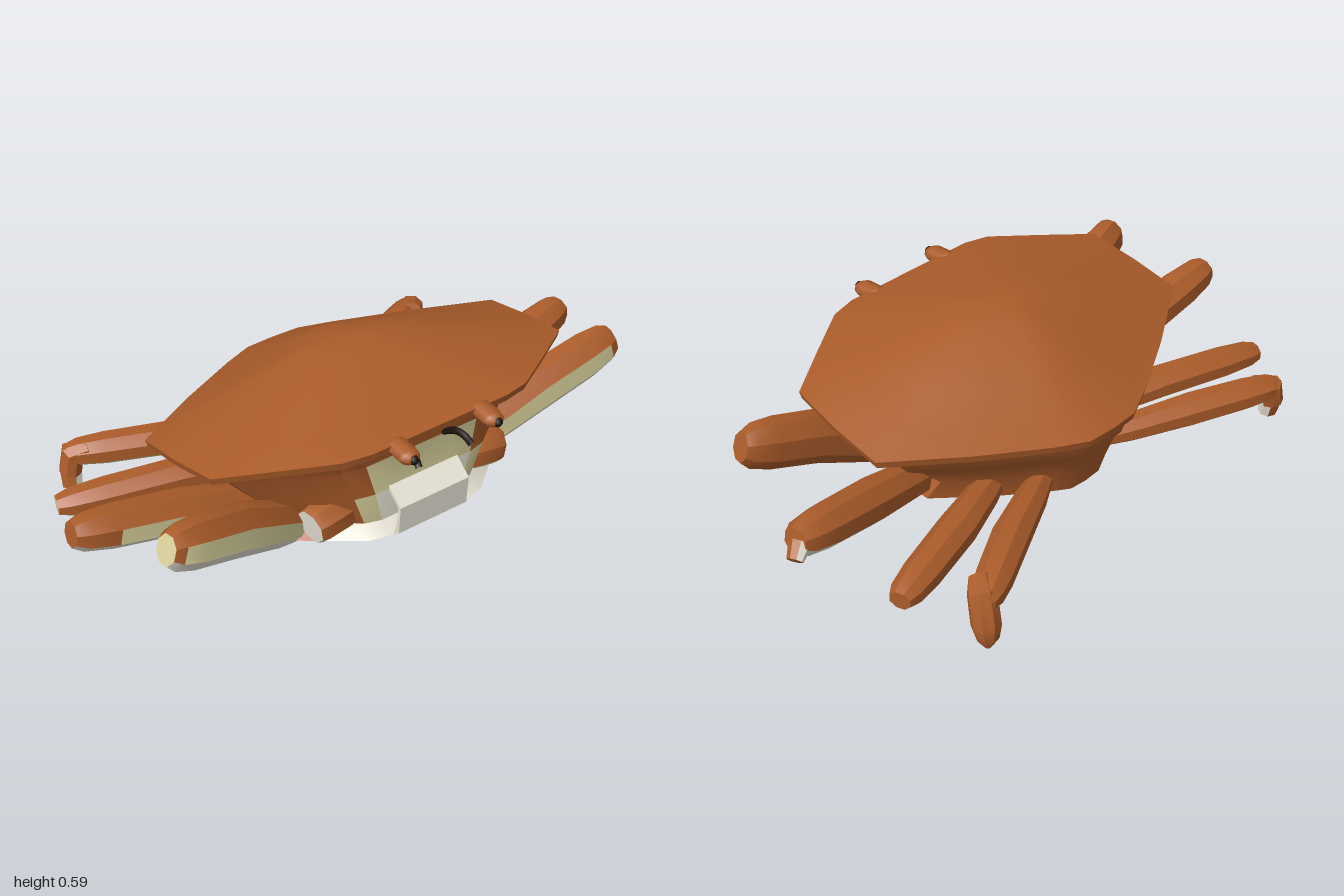
import * as THREE from 'three';
import { toCreasedNormals } from 'three/addons/utils/BufferGeometryUtils.js';

const mat = (name, color) => Object.assign(new THREE.MeshStandardMaterial({ color }), { name });
const V = (x, y, z) => new THREE.Vector3(x, y, z);

// Skin a list of rings; pick(ring, side) gives the material index of each panel.
function loft(rings, { pick, flip = false, start, end, endMat = 0, crease = 0.5 }) {
  const buckets = {};
  const tri = (m, a, b, c) => {
    const list = (buckets[m] ??= []);
    for (const p of flip ? [a, c, b] : [a, b, c]) list.push(p.x, p.y, p.z);
  };
  const n = rings[0].length, last = rings[rings.length - 1];
  for (let i = 0; i < n; i++) {
    const j = (i + 1) % n;
    for (let r = 0; r + 1 < rings.length; r++) {
      const a = rings[r], b = rings[r + 1], m = pick(r, i);
      tri(m, a[i], a[j], b[j]);
      tri(m, a[i], b[j], b[i]);
    }
    if (start) tri(0, start, rings[0][j], rings[0][i]);
    if (end) tri(endMat, end, last[i], last[j]);
  }
  const geo = new THREE.BufferGeometry(), pos = [];
  for (const m in buckets) {
    geo.addGroup(pos.length / 3, buckets[m].length / 3, +m);
    pos.push(...buckets[m]);
  }
  geo.setAttribute('position', new THREE.Float32BufferAttribute(pos, 3));
  return toCreasedNormals(geo, crease);
}

export function createModel() {
  const group = new THREE.Group();
  const shell = mat('rustShell', 0xab5c2a), cream = mat('cream', 0xdad29c);
  const pale = mat('paleBelly', 0xebe6d8), dark = mat('dark', 0x1c120c);
  const skins = [shell, cream, pale];
  const add = (name, geo, material) => {
    const mesh = new THREE.Mesh(geo, material);
    mesh.name = name;
    group.add(mesh);
    return mesh;
  };

  // Carapace outline, right half then mirrored (x, z)
  const half = [[0, 0.49], [0.13, 0.49], [0.25, 0.49], [0.34, 0.47], [0.5, 0.37], [0.655, 0.27], [0.67, 0.1],
    [0.67, -0.08], [0.43, -0.23], [0.21, -0.35], [0.1, -0.4], [0, -0.405]];
  const outline = [...half, ...half.slice(1, -1).reverse().map(([x, z]) => [-x, z])];

  // Domed top with a thin overhanging rim: [scale, height above rim, forward tilt]
  const dome = [[0.28, 0.14, 0.09], [0.6, 0.073, 0.16], [0.85, 0.027, 0.2], [1, 0, 0.2], [0.99, -0.024, 0.2], [0.9, -0.027, 0.2]];
  const domeRings = dome.map(([s, h, tilt]) => outline.map(([x, z]) => {
    const dz = (z - 0.05) * s;
    return V(x * s, 0.424 + tilt * dz + h, 0.05 + dz);
  }));
  add('carapace', loft(domeRings, { pick: () => 0, flip: true, start: V(0, 0.587, 0.05), crease: 0.6 }), skins);

  // Body under the rim: [x scale, front z, back z, y at z=0, y slope]
  const levels = [[0.91, 0.44, -0.385, 0.389, 0.2], [0.83, 0.405, -0.37, 0.32, 0.18], [0.72, 0.415, -0.352, 0.255, 0.07],
    [0.6, 0.41, -0.33, 0.165, 0.01], [0.64, 0.45, -0.3, 0.1, 0.08], [0.35, 0.25, -0.18, 0.072, 0.02]];
  const bodyRings = levels.map(([s, f, b, y, k]) => outline.map(([x, z]) => {
    const zz = b + (z + 0.405) / 0.895 * (f - b);
    return V(x * s, y + k * zz, zz);
  }));
  const n = outline.length;
  const bodyPick = (r, i) => {
    const side = Math.min(i, n - 1 - i); // 0 is the panel nearest the middle of the face
    if (r === 4) return 2;
    if (r === 3) return side > 3 ? 0 : 2;
    if (r === 2 && side < 2) return 2;
    return r === 0 || side > r ? 0 : 1;
  };
  add('body', loft(bodyRings, { pick: bodyPick, flip: true, end: V(0, 0.067, 0.02), endMat: 2, crease: 0.5 }), skins);

  // Small rusty spots on the belly
  for (const [x, z, r] of [[0.13, -0.02, 0.022], [-0.12, 0.07, 0.025], [0.02, -0.13, 0.022], [-0.04, 0.15, 0.018]]) {
    add('bellySpot', new THREE.CylinderGeometry(r, r, 0.008, 7), shell).position.set(x, 0.069 + 0.03 * Math.abs(z), z);
  }

  // Eight-sided limb along a path of [x, y, z, half width, half height]; cream stops at ring creamEnd
  function limb(name, path, faceMats, endMat = 0, creamEnd = 9) {
    const pts = path.map(p => V(p[0], p[1], p[2]));
    const whole = pts[pts.length - 1].clone().sub(pts[0]);
    const side = V(-whole.z, 0, whole.x).normalize();
    if (side.z < 0) side.negate();
    const rings = pts.map((p, k) => {
      const d = pts[Math.min(k + 1, pts.length - 1)].clone().sub(pts[Math.max(k - 1, 0)]).normalize();
      const up = d.clone().cross(side).normalize();
      if (whole.x > 0) up.negate();
      return Array.from({ length: 8 }, (_, i) => {
        const t = (i + 0.5) * Math.PI / 4;
        return p.clone().addScaledVector(side, Math.cos(t) * path[k][3]).addScaledVector(up, Math.sin(t) * path[k][4]);
      });
    });
    const pick = (r, i) => {
      const m = faceMats[(i + 1) % 8];
      return m === 1 && r >= creamEnd ? 0 : m;
    };
    const geo = loft(rings, { pick, flip: whole.x > 0, start: pts[0], end: pts[pts.length - 1], endMat });
    return add(name, geo, skins);
  }
  // Panel colours, starting at the front face and going over the top
  const frontMats = [1, 0, 0, 0, 0, 0, 2, 2], midMats = [0, 0, 0, 0, 0, 2, 2, 1], backMats = [0, 0, 0, 0, 0, 0, 2, 1];

  // Walking legs: [name, root, middle, tip, panel colours, half width, half height, tip colour, cream end]
  const legs = [
    ['leftFrontLeg', [0.32, 0.13, 0.22], [0.6, 0.28, 0.265], [0.84, 0.358, 0.29], frontMats, 0.066, 0.085, 0, 4],
    ['rightFrontLeg', [-0.32, 0.13, 0.24], [-0.6, 0.28, 0.305], [-0.83, 0.358, 0.35], frontMats, 0.066, 0.085, 1, 4],
    ['leftSecondLeg', [0.3, 0.12, 0.05], [0.65, 0.205, -0.01], [0.93, 0.265, -0.055], midMats, 0.07, 0.07, 0, 3],
    ['rightSecondLeg', [-0.3, 0.12, 0.07], [-0.65, 0.205, 0.055], [-0.96, 0.27, 0.045], frontMats, 0.07, 0.07, 0, 3],
    ['leftThirdLeg', [0.22, 0.12, -0.12], [0.5, 0.14, -0.235], [0.79, 0.13, -0.325], backMats, 0.06, 0.052, 0, 4],
    ['rightThirdLeg', [-0.22, 0.12, -0.09], [-0.5, 0.14, -0.17], [-0.85, 0.125, -0.265], backMats, 0.06, 0.052, 1, 9],
    ['leftBackLeg', [0.14, 0.13, -0.24], [0.42, 0.145, -0.38], [0.65, 0.145, -0.51], backMats, 0.058, 0.052, 0, 9],
    ['rightBackLeg', [-0.14, 0.13, -0.22], [-0.45, 0.145, -0.35], [-0.72, 0.145, -0.455], backMats, 0.058, 0.052, 0, 9],
  ];
  for (const [name, a, b, c, mats, w, h, tip, creamEnd] of legs) {
    const at = (p, q, t, s) => [...p.map((v, i) => v + (q[i] - v) * t), w * s, h * s];
    limb(name, [at(a, b, 0, 0.65), at(a, b, 0.35, 0.88), at(b, c, 0, 1.05), at(b, c, 0.7, 1),
      at(b, c, 1, 0.85), at(b, c, 1.12, 0.6)], mats, tip, creamEnd);
  }

  // Bent feet on the back legs and a broken stub on the left second leg
  const feet = [0, 0, 0, 0, 0, 0, 0, 0];
  limb('leftBackFoot', [[0.63, 0.175, -0.46, 0.035, 0.025], [0.66, 0.155, -0.5, 0.045, 0.045],
    [0.68, 0.07, -0.535, 0.046, 0.044], [0.685, 0.03, -0.545, 0.035, 0.03], [0.69, 0.0, -0.552, 0.008, 0.006]], feet);
  limb('rightBackFoot', [[-0.69, 0.165, -0.43, 0.035, 0.025], [-0.735, 0.145, -0.46, 0.045, 0.042],
    [-0.75, 0.08, -0.46, 0.042, 0.038]], feet);
  limb('rightBackToe', [[-0.748, 0.09, -0.46, 0.038, 0.034], [-0.755, 0.03, -0.445, 0.034, 0.03]], [2, 2, 0, 0, 0, 0, 0, 2], 2);
  limb('brokenLegStub', [[0.95, 0.26, -0.065, 0.035, 0.035], [0.99, 0.23, -0.085, 0.026, 0.018]], [1, 0, 0, 2, 2, 2, 2, 0], 0);

  // Arched mouth plate standing off the face (z, y profile)
  const arch = new THREE.Shape([[0.4, 0.29], [0.462, 0.24], [0.452, 0.15], [0.43, 0.13], [0.45, 0.128], [0.468, 0.145],
    [0.474, 0.245], [0.4, 0.305]].map(([z, y]) => new THREE.Vector2(z, y)));
  const mouth = add('mouthPlate', new THREE.ExtrudeGeometry(arch, { depth: 0.26, bevelEnabled: false }), pale);
  mouth.rotation.y = -Math.PI / 2;
  mouth.position.x = 0.13;

  for (const s of [1, -1]) {
    const tag = s > 0 ? 'left' : 'right';
    // Blunt claw stub beside the mouth
    limb(tag + 'ClawStub', [[s * 0.18, 0.2, 0.31, 0.05, 0.05], [s * 0.25, 0.205, 0.33, 0.062, 0.066],
      [s * 0.34, 0.195, 0.335, 0.062, 0.066], [s * 0.36, 0.192, 0.335, 0.055, 0.058]], [0, 0, 0, 0, 0, 2, 2, 1], 2);

    // Flattened eye stalk
    const eye = add(tag + 'EyeStalk', new THREE.CapsuleGeometry(0.035, 0.05, 4, 8), shell);
    eye.scale.z = 0.72;
    eye.rotation.x = Math.PI / 2 + 0.05;
    eye.position.set(s * 0.155, 0.496, 0.508);
    const pupil = add(tag + 'Pupil', new THREE.SphereGeometry(0.016, 8, 6), dark);
    pupil.position.set(s * 0.155, 0.494, 0.559);

    // Curled feeler
    const curl = new THREE.CatmullRomCurve3([V(s * 0.075, 0.405, 0.41), V(s * 0.085, 0.43, 0.455),
      V(s * 0.092, 0.428, 0.49), V(s * 0.098, 0.41, 0.515)]);
    add(tag + 'Feeler', new THREE.TubeGeometry(curl, 8, 0.011, 6), dark);
  }
  return group;
}
